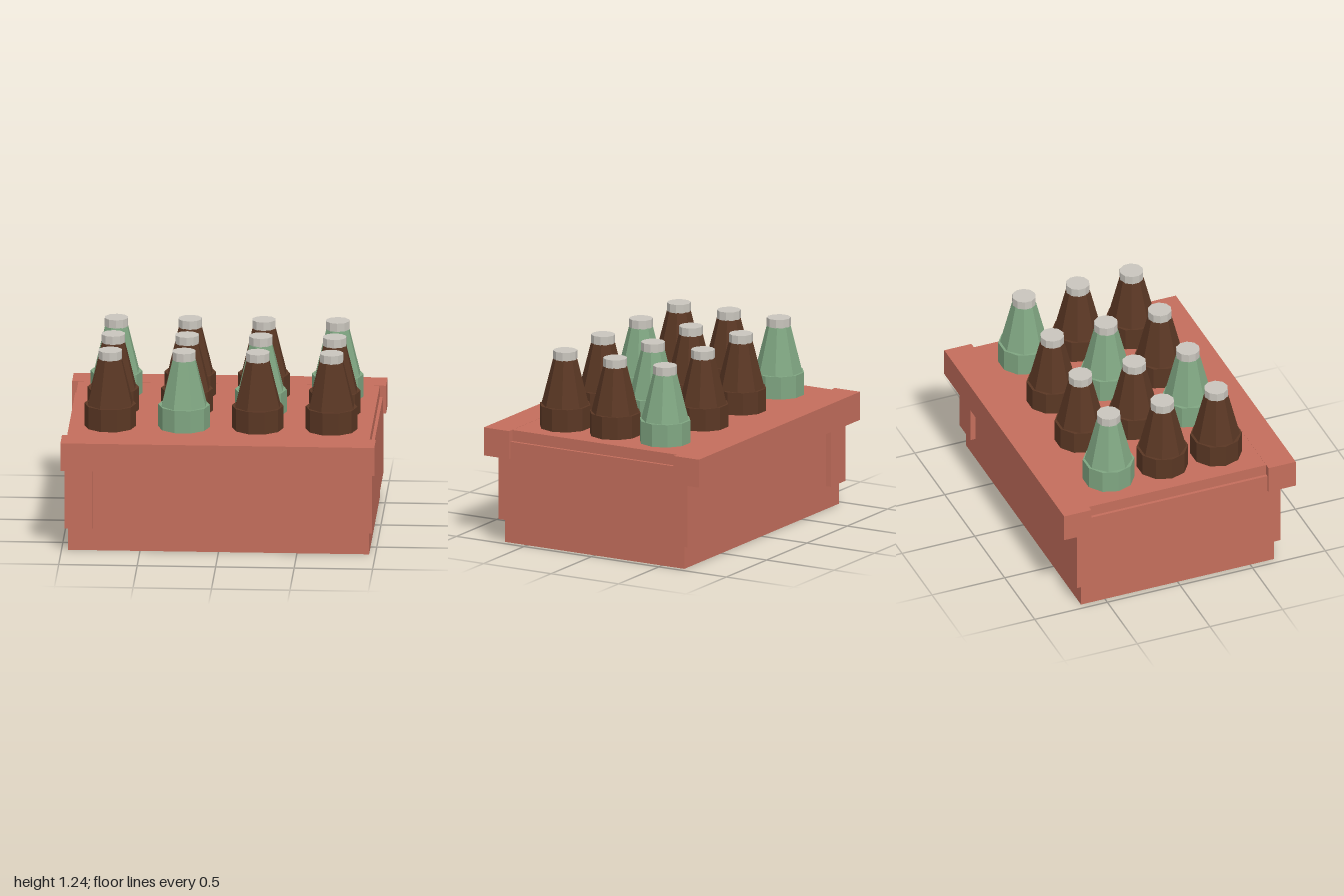
import * as THREE from 'three';

export function createModel() {
  const root = new THREE.Group();
  const material = (name, color) => {
    const m = new THREE.MeshStandardMaterial({ color, flatShading: true });
    m.name = name;
    return m;
  };
  const crateRed = material('crateRed', 0xc46e5c);
  const brownGlass = material('brownGlass', 0x5a3724);
  const greenGlass = material('greenGlass', 0x80a682);
  const capGrey = material('capGrey', 0xc9c5bd);

  // Crate
  const crate = new THREE.Group();
  crate.name = 'crate';
  root.add(crate);
  const box = (name, x0, x1, y0, y1, z0, z1) => {
    const mesh = new THREE.Mesh(new THREE.BoxGeometry(x1 - x0, y1 - y0, z1 - z0), crateRed);
    mesh.position.set((x0 + x1) / 2, (y0 + y1) / 2, (z0 + z1) / 2);
    mesh.name = name;
    crate.add(mesh);
  };
  box('crateBody', -0.96, 0.96, 0, 0.743, -0.665, 0.665);
  // Side panels wrapping round the corners
  box('leftPanel', 0.8, 0.98, 0.15, 0.67, -0.7, 0.7);
  box('rightPanel', -0.98, -0.8, 0.15, 0.67, -0.7, 0.7);
  // Thick rims along the front and back
  box('frontRim', -1, 1, 0.56, 0.744, 0.61, 0.797);
  box('backRim', -1, 1, 0.56, 0.744, -0.797, -0.61);

  // Bottle parts: ten-sided body, eight-sided neck, ten-sided cap
  const bodyGeo = new THREE.CylinderGeometry(0.165, 0.165, 0.19, 10).rotateY(Math.PI / 2);
  bodyGeo.translate(0, 0.795, 0);
  const neckGeo = new THREE.CylinderGeometry(0.077, 0.153, 0.302, 8).rotateY(Math.PI / 8);
  neckGeo.translate(0, 1.039, 0);
  const capGeo = new THREE.CylinderGeometry(0.077, 0.077, 0.055, 10);
  capGeo.translate(0, 1.216, 0);

  const addBottle = (x, z, glass) => {
    const bottle = new THREE.Group();
    bottle.name = 'bottle';
    const parts = [['bottleBody', bodyGeo, glass], ['bottleNeck', neckGeo, glass], ['bottleCap', capGeo, capGrey]];
    for (const [name, geo, mat] of parts) {
      const mesh = new THREE.Mesh(geo, mat);
      mesh.name = name;
      bottle.add(mesh);
    }
    bottle.position.set(x, 0, z);
    root.add(bottle);
  };

  // Rows from back to front: g = green, b = brown
  ['gbbg', 'bbgb', 'bgbb'].forEach((row, r) => {
    [...row].forEach((c, i) => {
      addBottle(-0.705 + i * 0.47, (r - 1) * 0.37, c === 'g' ? greenGlass : brownGlass);
    });
  });

  return root;
}
